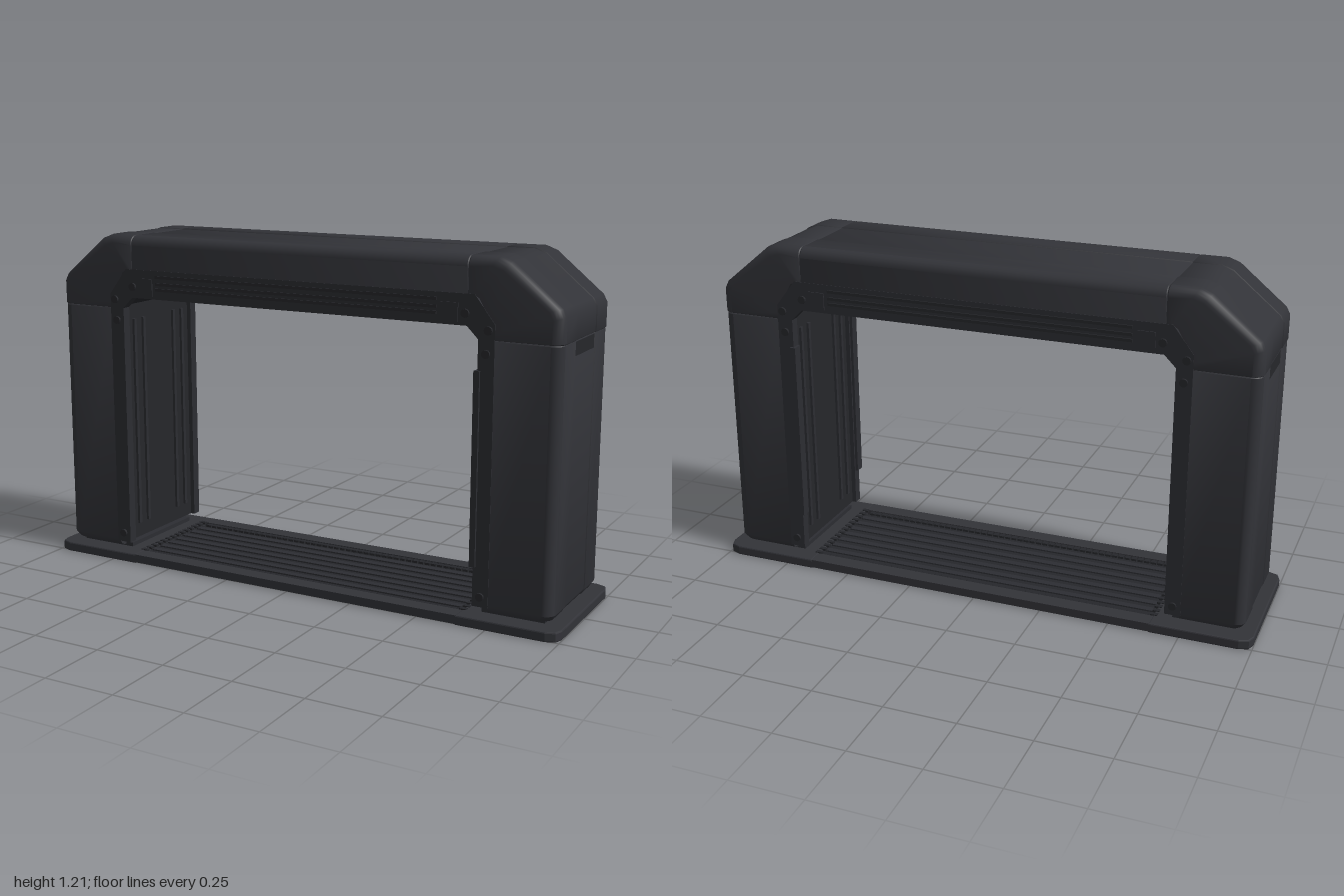
import * as THREE from 'three';
import { toCreasedNormals } from 'three/addons/utils/BufferGeometryUtils.js';

const shellMat = new THREE.MeshStandardMaterial({ color: 0x323338 });
shellMat.name = 'charcoal shell';
const frameMat = new THREE.MeshStandardMaterial({ color: 0x2c2d32 });
frameMat.name = 'dark frame';
const panelMat = new THREE.MeshStandardMaterial({ color: 0x26272b });
panelMat.name = 'deep grey panel';

// Cross-section of the shell: depth below the outer face, and z
function section(len, inset) {
  const w = 0.227 - inset, r = 0.035, half = [[len, w]];
  for (let i = 0; i <= 5; i++) {
    const a = (i / 5) * Math.PI / 2;
    half.push([inset + r - r * Math.sin(a), w - r + r * Math.cos(a)]);
  }
  half.push([inset, 0.096], [inset + 0.003, 0.094]); // step down to the middle band
  return [...half, ...half.slice().reverse().map(([d, z]) => [d, -z])];
}

// Loft through stations [innerX, innerY, outerX, outerY, inset]
function loft(stations) {
  const pos = [], idx = [];
  let n = 0;
  for (const [ix, iy, ox, oy, inset = 0] of stations) {
    const len = Math.hypot(ox - ix, oy - iy), dx = (ox - ix) / len, dy = (oy - iy) / len;
    const ring = section(len, inset);
    n = ring.length;
    for (const [d, z] of ring) pos.push(ox - dx * d, oy - dy * d, z);
  }
  for (let s = 0; s < stations.length - 1; s++) {
    for (let i = 0; i < n; i++) {
      const j = (i + 1) % n, a = s * n, b = a + n;
      idx.push(a + i, a + j, b + j, a + i, b + j, b + i);
    }
  }
  // End caps
  const last = (stations.length - 1) * n, c = pos.length / 3;
  for (const [ix, iy, ox, oy] of [stations[0], stations[stations.length - 1]]) {
    pos.push((ix + ox) / 2, (iy + oy) / 2, 0);
  }
  for (let i = 0; i < n; i++) {
    const j = (i + 1) % n;
    idx.push(c, j, i, c + 1, last + i, last + j);
  }
  const geo = new THREE.BufferGeometry();
  geo.setAttribute('position', new THREE.Float32BufferAttribute(pos, 3));
  geo.setIndex(idx);
  return toCreasedNormals(geo, 0.6);
}

function add(parent, name, geo, mat, x = 0, y = 0, z = 0) {
  const mesh = new THREE.Mesh(geo, mat);
  mesh.name = name;
  mesh.position.set(x, y, z);
  parent.add(mesh);
}

// Box given by its limits
function block(parent, name, mat, x0, x1, y0, y1, z0, z1) {
  add(parent, name, new THREE.BoxGeometry(x1 - x0, y1 - y0, z1 - z0), mat,
    (x0 + x1) / 2, (y0 + y1) / 2, (z0 + z1) / 2);
}

function shapeOf(points) {
  return new THREE.Shape(points.map(([x, y]) => new THREE.Vector2(x, y)));
}

// Symmetric arch outline from its +x half, extruded along z about the middle
function archBand(outer, inner, depth) {
  const mirror = (pts) => pts.slice().reverse().map(([x, y]) => [-x, y]);
  const geo = new THREE.ExtrudeGeometry(
    shapeOf([...outer, ...mirror(outer), ...mirror(inner), ...inner]),
    { depth, bevelEnabled: false });
  return geo.translate(0, 0, -depth / 2);
}

// Everything at the +x end
function buildSide() {
  const side = new THREE.Group();
  add(side, 'legShell', loft([
    [0.74, 0.042, 0.965, 0.042, 0.028], [0.74, 0.05, 0.965, 0.05, 0.012],
    [0.74, 0.07, 0.965, 0.07], [0.74, 0.945, 0.965, 0.945], [0.74, 0.948, 0.965, 0.948, 0.002],
  ]), shellMat);
  add(side, 'cornerShell', loft([
    [0.74, 0.949, 0.968, 0.949, 0.002], [0.74, 0.952, 0.968, 0.952],
    [0.74, 0.97, 0.968, 1.035], [0.735, 1.0, 0.955, 1.06],
    [0.69, 1.08, 0.79, 1.197], [0.67, 1.09, 0.75, 1.212],
    [0.654, 1.09, 0.654, 1.212], [0.651, 1.09, 0.651, 1.212, 0.002],
  ]), shellMat);
  block(side, 'legFoot', frameMat, 0.71, 0.93, 0.03, 0.05, -0.19, 0.19);
  block(side, 'gripLedge', panelMat, 0.955, 0.963, 0.898, 0.944, -0.09, 0.09);

  // Base pad with clipped outer corners
  const pad = new THREE.ExtrudeGeometry(shapeOf([
    [0.65, -0.258], [0.955, -0.258], [0.985, -0.247], [0.995, -0.22],
    [0.995, 0.22], [0.985, 0.247], [0.955, 0.258], [0.65, 0.258],
  ]), { depth: 0.025, bevelThickness: 0.005, bevelSize: 0.005, bevelSegments: 2 });
  pad.rotateX(-Math.PI / 2);
  add(side, 'basePad', pad, shellMat, 0, 0.005, 0);

  // Vertical rails on the inner lining
  for (const z of [-0.15, -0.095, 0.095, 0.15]) {
    block(side, 'liningRail', frameMat, 0.697, 0.71, 0.12, 0.9, z - 0.007, z + 0.007);
  }
  for (const s of [-1, 1]) {
    for (const [x, y] of [[0.718, 0.1], [0.718, 0.905], [0.725, 0.98], [0.645, 1.03]]) {
      const bolt = new THREE.CylinderGeometry(0.014, 0.014, 0.014, 12);
      bolt.rotateX(Math.PI / 2);
      add(side, 'bolt', bolt, panelMat, x, y, s * 0.23);
    }
    block(side, 'cornerBracket', frameMat, 0.56, 0.62, 1.0, 1.062, s * 0.229 - 0.004, s * 0.229 + 0.004);
  }
  // Threshold teeth at the foot of the opening
  for (let i = 0; i < 14; i++) {
    const z = -0.195 + i * 0.03;
    block(side, 'thresholdTooth', panelMat, 0.635, 0.66, 0.03, 0.038, z - 0.008, z + 0.008);
  }
  return side;
}

export function createModel() {
  const model = new THREE.Group();
  model.name = 'archway';

  const left = buildSide();
  left.name = 'leftSide';
  const right = buildSide();
  right.name = 'rightSide';
  right.rotation.y = Math.PI;
  model.add(left, right);

  // Top beam
  add(model, 'beamShell', loft([
    [0.65, 1.09, 0.65, 1.212, 0.002], [0.647, 1.09, 0.647, 1.212],
    [-0.647, 1.09, -0.647, 1.212], [-0.65, 1.09, -0.65, 1.212, 0.002],
  ]), shellMat);

  // Lining of the opening, set back a little between the two portal frames
  const outer = [[0.746, 0.065], [0.746, 1.0], [0.675, 1.092]];
  const lining = archBand(outer, [[0.656, 1.005], [0.706, 0.955], [0.706, 0.065]], 0.41);
  add(model, 'openingLining', lining, panelMat);
  for (const z of [-0.12, 0, 0.12]) {
    block(model, 'ceilingRail', frameMat, -0.6, 0.6, 0.998, 1.007, z - 0.008, z + 0.008);
  }

  const frame = archBand(outer, [[0.65, 0.99], [0.69, 0.95], [0.69, 0.065]], 0.034);
  for (const s of [-1, 1]) {
    add(model, 'portalFrame', frame, frameMat, 0, 0, s * 0.212);
    // Trim strip on the left upright only
    block(model, 'trimStrip', frameMat, 0.68, 0.7, 0.2, 0.85, s * 0.22 - 0.018, s * 0.22 + 0.018);
    for (const y of [1.025, 1.045, 1.07]) {
      block(model, 'beamRail', panelMat, -0.545, 0.545, y - 0.005, y + 0.005, s * 0.23 - 0.004, s * 0.23 + 0.004);
    }
    // Base rails, and the teeth that bridge the slot beside the floor
    block(model, 'baseRail', shellMat, -0.65, 0.65, 0.004, 0.034, s * 0.233 - 0.029, s * 0.233 + 0.029);
    for (let i = 0; i < 50; i++) {
      const x = -0.615 + i * 0.0251;
      block(model, 'floorTooth', panelMat, x - 0.01, x + 0.01, 0.01, 0.031, s * 0.195 - 0.011, s * 0.195 + 0.011);
    }
  }

  // Recessed floor with lengthwise ribs
  block(model, 'floor', panelMat, -0.65, 0.65, 0.015, 0.023, -0.187, 0.187);
  for (let i = -3; i <= 3; i++) {
    block(model, 'floorRib', frameMat, -0.64, 0.64, 0.011, 0.028, i * 0.05 - 0.012, i * 0.05 + 0.012);
  }
  return model;
}
